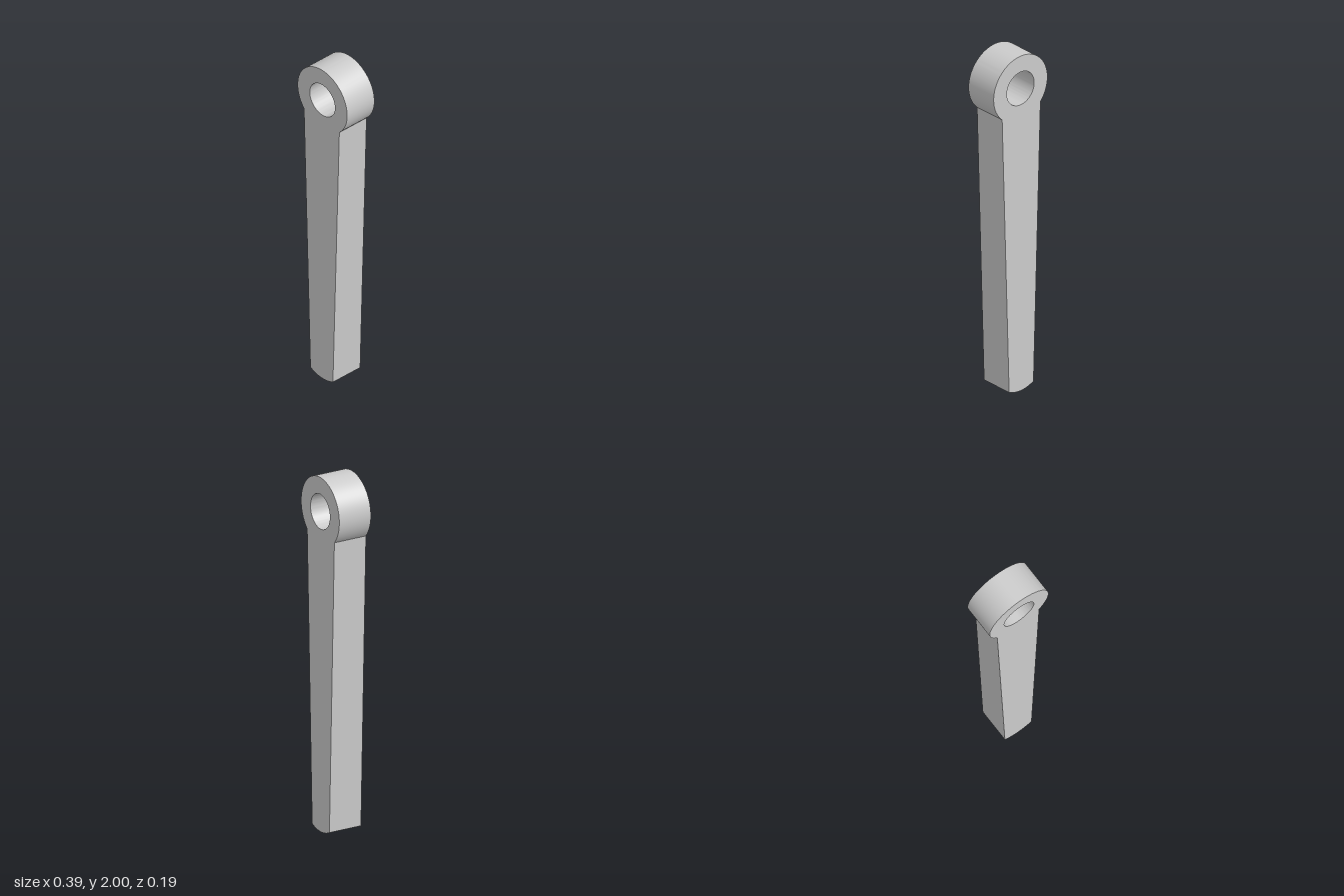
import * as THREE from 'three';
import { toCreasedNormals } from 'three/addons/utils/BufferGeometryUtils.js';

export function createModel() {
  const group = new THREE.Group();
  const R = 0.193, eyeY = 2 - R, hole = 0.098, depth = 0.195;
  // Angle on a circle of radius R, on its lower half, at a given x
  const lowerAngle = (x) => 2 * Math.PI - Math.acos(x / R);

  // Outline: round eye, tapered shank, shallow curved foot
  const outline = new THREE.Shape();
  outline.absarc(0, eyeY, R, lowerAngle(0.132) - 2 * Math.PI, lowerAngle(-0.143), false);
  outline.absarc(0, R, R, lowerAngle(-0.093), lowerAngle(0.082), false);
  outline.closePath();

  // Pin hole through the eye
  const bore = new THREE.Path();
  bore.absarc(0, eyeY, hole, 0, Math.PI * 2, true);
  outline.holes.push(bore);

  const geometry = new THREE.ExtrudeGeometry(outline, { depth, bevelEnabled: false, curveSegments: 40 });
  geometry.translate(0, 0, -depth / 2);

  const lever = new THREE.Mesh(
    toCreasedNormals(geometry, 0.4),
    new THREE.MeshStandardMaterial({ color: 0xcccccc })
  );
  lever.name = 'leverArm';
  group.add(lever);
  return group;
}
